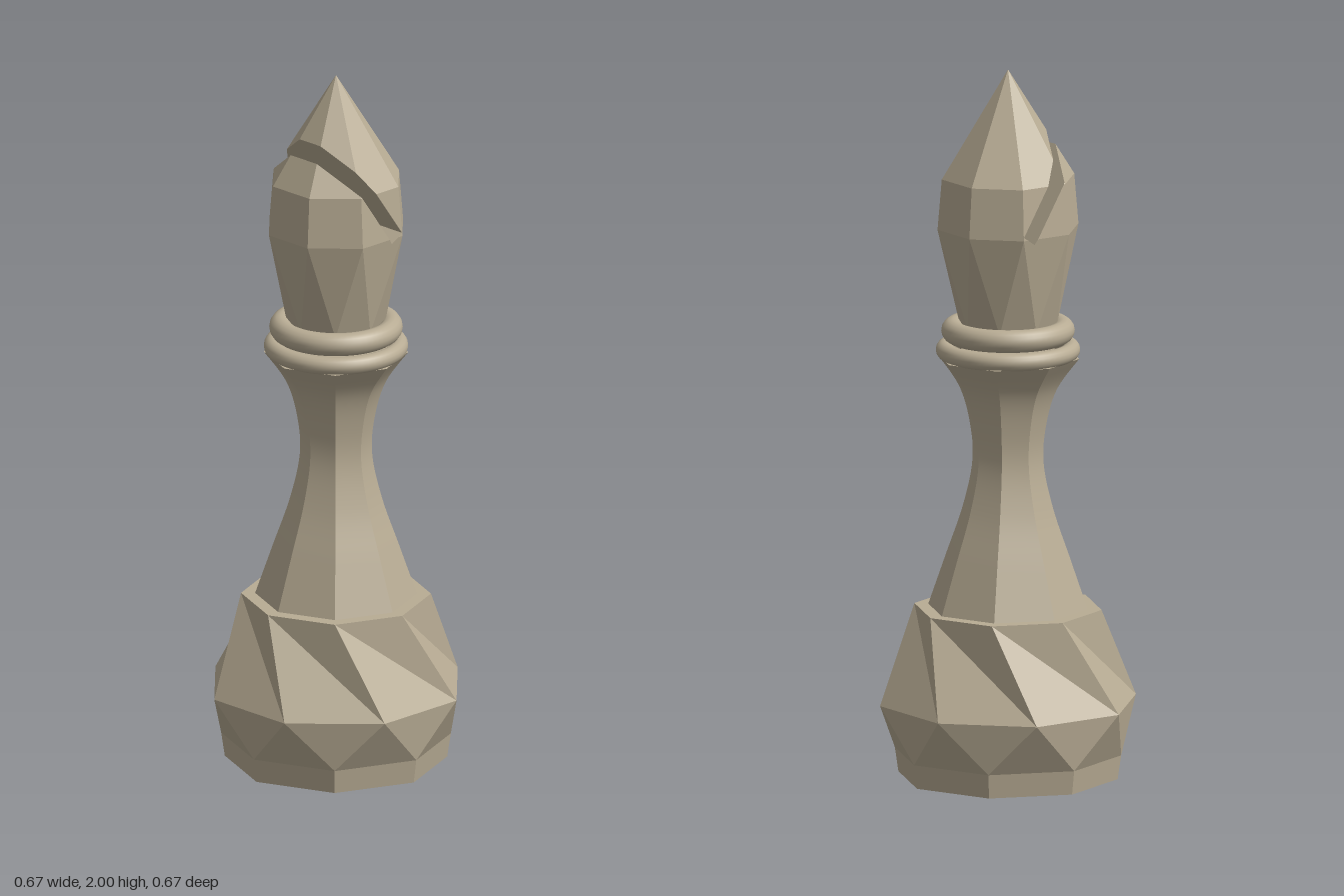
import * as THREE from 'three';
import { toCreasedNormals } from 'three/addons/utils/BufferGeometryUtils.js';
import { ConvexGeometry } from 'three/addons/geometries/ConvexGeometry.js';

const SIDES = 8;

// Octagon of points at one height; turn is a fraction of one side
function ring(y, r, turn = 0) {
  return Array.from({ length: SIDES }, (_, k) => {
    const a = ((k + turn) / SIDES) * Math.PI * 2;
    return new THREE.Vector3(r * Math.cos(a), y, r * Math.sin(a));
  });
}

// Triangle band: lower point k joins upper points k+shift and k+shift+1
function band(lower, upper, shift, out) {
  const at = (list, i) => list[(i + SIDES) % SIDES];
  for (let k = 0; k < SIDES; k++) {
    const a = at(lower, k), b = at(upper, k + shift + 1);
    out.push(a, at(upper, k + shift), b, at(lower, k + 1), a, b);
  }
}

// Corners of a convex solid kept where p.n <= d for every [n, d] plane
function clipConvex(solid, planes) {
  const pos = solid.getAttribute('position');
  const kept = new Map();
  for (let i = 0; i < pos.count; i += 3) {
    let poly = [0, 1, 2].map((j) => new THREE.Vector3().fromBufferAttribute(pos, i + j));
    for (const [n, d] of planes) {
      const next = [];
      poly.forEach((p, j) => {
        const q = poly[(j + 1) % poly.length];
        const dp = p.dot(n) - d, dq = q.dot(n) - d;
        if (dp <= 0) next.push(p);
        if (dp * dq < 0) next.push(p.clone().lerp(q, dp / (dp - dq)));
      });
      poly = next;
    }
    for (const p of poly) {
      const key = p.toArray().map((v) => Math.round(v * 1e5)).join();
      if (!kept.has(key)) kept.set(key, p);
    }
  }
  return new ConvexGeometry([...kept.values()]);
}

export function createModel() {
  const group = new THREE.Group();
  group.name = 'chessPiece';
  const stone = new THREE.MeshStandardMaterial({ color: 0xb8ac94 });
  stone.name = 'warm stone';

  const add = (name, geometry, y = 0) => {
    const mesh = new THREE.Mesh(geometry, stone);
    mesh.name = name;
    mesh.position.y = y;
    group.add(mesh);
    return mesh;
  };

  // Faceted base with a twisted upper band and a flat lip
  const foot = ring(0, 0.308), ankle = ring(0.068, 0.318);
  const belly = ring(0.213, 0.363, 0.5), lip = ring(0.478, 0.263);
  const tris = [];
  band(ring(0, 0), foot, 0, tris);
  band(foot, ankle, 0, tris);
  band(ankle, belly, -1, tris);
  band(belly, lip, 1, tris);
  band(lip, ring(0.478, 0), 0, tris);
  const base = new THREE.BufferGeometry().setFromPoints(tris);
  base.computeVertexNormals();
  add('base', base);

  // Eight-sided stem, smooth along its height and sharp at its corners
  const curve = new THREE.SplineCurve([
    [0.225, 0.475], [0.175, 0.62], [0.127, 0.76], [0.1, 0.89],
    [0.108, 1.0], [0.138, 1.1], [0.2, 1.187],
  ].map(([r, y]) => new THREE.Vector2(r, y)));
  const profile = [...curve.getPoints(36), new THREE.Vector2(0, 1.2)];
  add('stem', toCreasedNormals(new THREE.LatheGeometry(profile, SIDES), 0.35));

  // Two smooth collar rings
  for (const [name, r, tube, y] of [
    ['lowerCollar', 0.175, 0.025, 1.207],
    ['upperCollar', 0.153, 0.032, 1.262],
  ]) add(name, new THREE.TorusGeometry(r, tube, 16, 64), y).rotation.x = Math.PI / 2;

  // Pointed head with a slanted slot, made of three convex pieces
  const head = new ConvexGeometry([
    ...ring(1.275, 0.136), ...ring(1.555, 0.2, 0.5), ...ring(1.697, 0.188, 0.5),
    new THREE.Vector3(0, 2, 0),
  ]);
  const across = new THREE.Vector3(0.83, 0.558, 0);
  const along = new THREE.Vector3(0.558, -0.83, 0);
  const back = (n) => n.clone().negate();
  const top = 0.9355, bottom = 0.891, end = -1.2565;
  add('headTip', clipConvex(head, [[back(across), -top]]));
  add('headLower', clipConvex(head, [[across, bottom]]));
  add('headBridge', clipConvex(head, [[across, top], [back(across), -bottom], [back(along), -end]]));

  return group;
}
